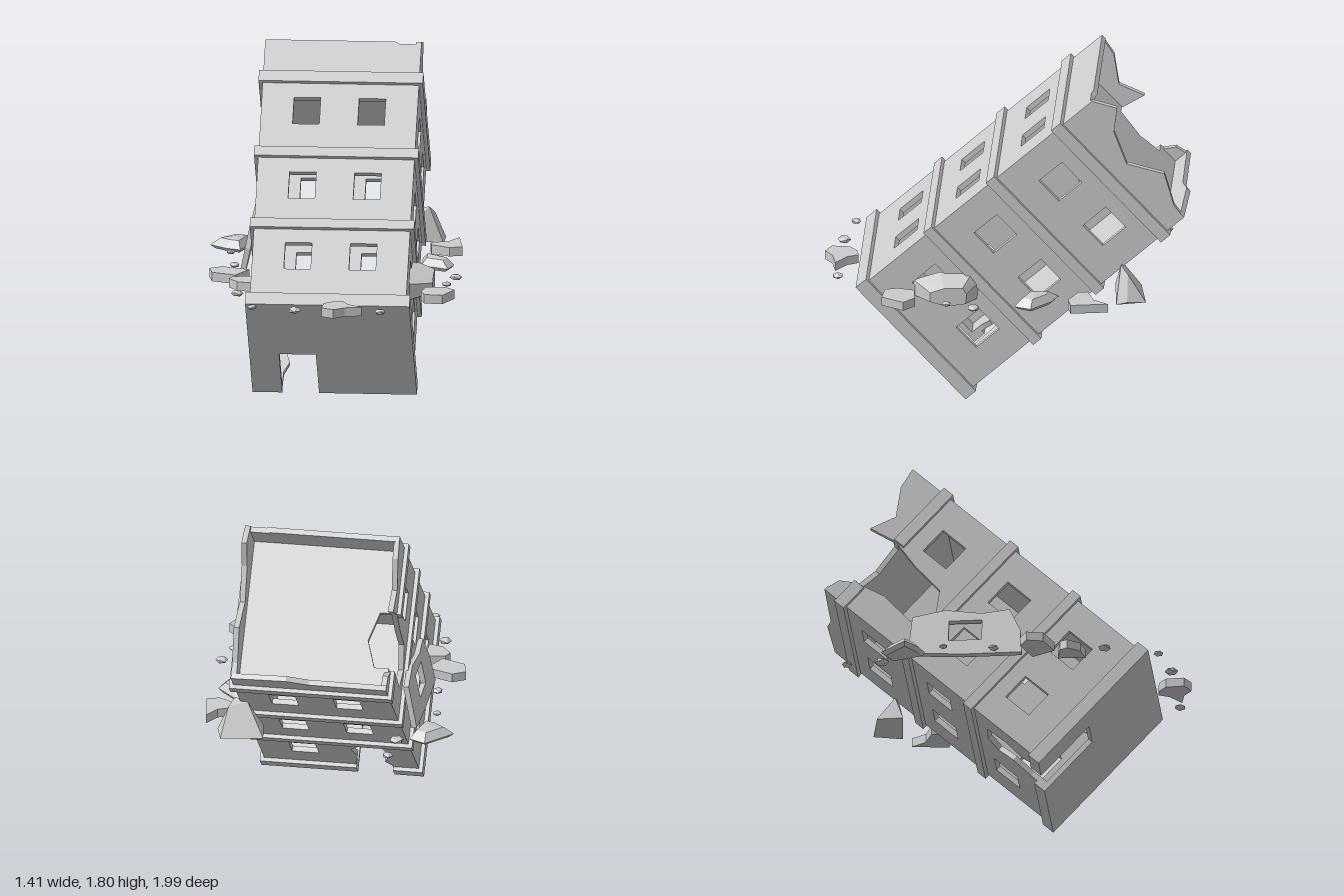
import * as THREE from 'three';
import { ConvexGeometry } from 'three/addons/geometries/ConvexGeometry.js';

const material = new THREE.MeshStandardMaterial({ color: 0xcccccc, flatShading: true, side: THREE.DoubleSide });
const HW = 0.425, HD = 0.42, T = 0.03, LIP = 0.022;
const LEVELS = [0.33, 0.785, 1.265]; // window centre heights
const OFFSET = 0.177;

function add(parent, name, geometry, x = 0, y = 0, z = 0) {
  const mesh = new THREE.Mesh(geometry, material);
  mesh.name = name;
  mesh.position.set(x, y, z);
  parent.add(mesh);
  return mesh;
}

function extrude(points, depth, holes = []) {
  const shape = new THREE.Shape(points.map(p => new THREE.Vector2(...p)));
  for (const hole of holes) shape.holes.push(new THREE.Path(hole.map(p => new THREE.Vector2(...p))));
  return new THREE.ExtrudeGeometry(shape, { depth, bevelEnabled: false });
}

const rect = (cx, cy, w, h) => [
  [cx - w / 2, cy - h / 2], [cx - w / 2, cy + h / 2], [cx + w / 2, cy + h / 2], [cx + w / 2, cy - h / 2]];

// horizontal plate from an outline in x and z
const plate = (points, depth) => extrude(points.map(([x, z]) => [x, -z]), depth).rotateX(-Math.PI / 2);
// upright plate from an outline in z and y, thickness toward -x
const sidePlate = (points, depth, holes) => extrude(points, depth, holes).rotateY(-Math.PI / 2);

function windows(width, skip = () => false) {
  const list = [];
  LEVELS.forEach((y, level) => [-1, 1].forEach(s => {
    if (!skip(level, s)) list.push(rect(s * OFFSET, y, width, 0.17));
  }));
  return list;
}

// band of four bars around the building, with optional gaps in the back or -x bar
function ledge(parent, y0, y1, backGap, sideGap) {
  const group = new THREE.Group();
  group.name = 'ledge';
  parent.add(group);
  const h = y1 - y0, y = (y0 + y1) / 2, t = LIP + 0.01;
  const X = HW + LIP, Z = HD + LIP;
  const spans = (r, gap) => (gap ? [[-r, gap[0]], [gap[1], r]] : [[-r, r]]);
  const alongX = (z, gap) => spans(X, gap).forEach(([a, b]) =>
    add(group, 'ledgeBar', new THREE.BoxGeometry(b - a, h, t), (a + b) / 2, y, z));
  const alongZ = (x, gap) => spans(Z, gap).forEach(([a, b]) =>
    add(group, 'ledgeBar', new THREE.BoxGeometry(t, h, b - a), x, y, (a + b) / 2));
  alongX(Z - t / 2);
  alongX(-Z + t / 2, backGap);
  alongZ(X - t / 2);
  alongZ(-X + t / 2, sideGap);
}

function building() {
  const g = new THREE.Group();
  g.name = 'building';

  add(g, 'frontWall', extrude(
    [[-HW, 0], [HW, 0], [HW, 1.705], [0.31, 1.705], [0.28, 1.72], [-HW, 1.72]], T, windows(0.145)), 0, 0, HD - T);

  // back wall with a ragged doorway
  add(g, 'backWall', extrude(
    [[-HW, 0], [-0.285, 0], [-0.28, 0.1], [-0.25, 0.16], [-0.285, 0.28], [-0.265, 0.42], [-0.135, 0.43],
      [-0.085, 0.36], [-0.11, 0.25], [-0.085, 0.12], [-0.085, 0], [HW, 0], [HW, 1.63], [0.12, 1.65],
      [0, 1.61], [-HW, 1.605]], T,
    windows(0.145, (level, s) => level === 0 && s < 0)), 0, 0, -HD);

  // side walls with broken tops
  add(g, 'leftWall', sidePlate(
    [[-HD, 0], [HD, 0], [HD, 1.72], [0.30, 1.796], [0.205, 1.686], [0.02, 1.61], [-0.157, 1.725],
      [-0.332, 1.637], [-HD, 1.626]], T, windows(0.16)), HW);
  add(g, 'rightWall', sidePlate(
    [[-HD, 0], [HD, 0], [HD, 1.72], [0.3, 1.7], [0.15, 1.6], [0.01, 1.66], [0.04, 1.5], [0, 1.32],
      [-0.02, 1.12], [-0.14, 1.04], [-0.26, 1.12], [-0.24, 1.33], [-0.28, 1.5], [-0.33, 1.58], [-HD, 1.605]], T,
    windows(0.16, (level, s) => level === 2 && s < 0)), -HW + T);

  // ground plate notched by the doorway
  add(g, 'groundPlate', plate(
    [[-HW, -HD], [-0.285, -HD], [-0.285, -0.057], [-0.085, -0.057], [-0.085, -HD], [HW, -HD], [HW, HD], [-HW, HD]], T));

  // roof with a bite on the broken side
  const x = HW - 0.01, z = HD - 0.01;
  add(g, 'roof', plate(
    [[-x, -z], [x, -z], [x, z], [-x, z], [-x, 0.04], [-0.335, 0.04], [-0.285, -0.12], [-0.335, -0.27], [-x, -0.27]], T),
  0, 1.49);

  ledge(g, 0, 0.076, [-0.285, -0.085]);
  ledge(g, 0.5, 0.558);
  ledge(g, 0.96, 1.02);
  ledge(g, 1.441, 1.509, null, [-0.28, 0.04]);

  g.position.set(0.015, 0.332, 0.504);
  g.rotation.x = -0.829;
  return g;
}

// faceted rock: outline tapered upward to a ridge point
function rock(outline, y0, y1, taper) {
  const n = outline.length;
  const cx = outline.reduce((s, p) => s + p[0], 0) / n, cz = outline.reduce((s, p) => s + p[1], 0) / n;
  const pts = [new THREE.Vector3(cx, y1 + 0.01, cz)];
  for (const [x, z] of outline) {
    pts.push(new THREE.Vector3(x, y0 + 0.02, z));
    pts.push(new THREE.Vector3(cx + (x - cx) * taper, y1, cz + (z - cz) * taper));
    pts.push(new THREE.Vector3(cx + (x - cx) * 0.8, y0, cz + (z - cz) * 0.8));
  }
  return new ConvexGeometry(pts);
}

function rubble() {
  const g = new THREE.Group();
  g.name = 'rubble';

  // flat slabs
  const slabs = [
    [[-0.45, 0.175], [-0.6, 0.12], [-0.67, 0.16], [-0.65, 0.25], [-0.52, 0.3]],
    [[-0.42, 0.31], [-0.53, 0.33], [-0.55, 0.37], [-0.5, 0.44], [-0.42, 0.46]],
    [[0.05, 0.82], [0.1, 0.81], [0.13, 0.87], [0.21, 0.93], [0.12, 0.95], [0.06, 0.995], [-0.005, 0.96], [0, 0.86]],
    [[0.53, 0.48], [0.63, 0.47], [0.69, 0.53], [0.63, 0.65], [0.53, 0.64], [0.51, 0.57]],
    [[0.64, -0.58], [0.67, -0.38], [0.6, -0.36], [0.5, -0.41], [0.49, -0.46], [0.59, -0.5]]];
  slabs.forEach(s => add(g, 'slab', plate(s, 0.05), 0, 0.635));

  // faceted rocks
  add(g, 'rock', rock([[-0.71, -0.5], [-0.57, -0.64], [-0.48, -0.6], [-0.5, -0.52], [-0.54, -0.4], [-0.62, -0.43]],
    0.62, 0.68, 0.6));
  add(g, 'rock', rock([[0.46, -0.3], [0.53, -0.27], [0.64, -0.16], [0.61, -0.07], [0.51, -0.12], [0.46, -0.14]],
    0.62, 0.68, 0.6));

  // boulder against the left wall
  const outline = [[0.49, 0.7], [0.35, 0.75], [0.17, 0.755], [0.13, 0.7], [0.14, 0.6], [0.33, 0.57], [0.49, 0.61]];
  add(g, 'boulder', new ConvexGeometry(outline.flatMap(([z, y]) => [
    new THREE.Vector3(0.43, y, z),
    new THREE.Vector3(0.56, 0.66 + (y - 0.66) * 0.6, 0.27 + (z - 0.27) * 0.55)])));

  // chunk leaning under the overhang
  add(g, 'leaningChunk', new ConvexGeometry([
    [0.56, 0.66, -0.68], [0.55, 0.64, -0.62], [0.53, 0.65, -0.78], [0.47, 0.84, -0.64], [0.5, 0.8, -0.68],
    [0.32, 0.66, -0.6], [0.3, 0.65, -0.74], [0.4, 0.82, -0.65]].map(p => new THREE.Vector3(...p))));

  // fallen wall piece with a window, leaning on the right wall
  const panel = add(g, 'fallenWallPiece', sidePlate(
    [[-0.5, 0.02], [-0.2, 0], [0.12, 0], [0.11, 0.15], [0.05, 0.29], [-0.1, 0.27], [-0.3, 0.3], [-0.48, 0.26]], T,
    [rect(-0.19, 0.16, 0.18, 0.13)]), -0.48, 0.635, 0);
  panel.rotation.z = -0.2;

  // pebbles: x, z, radius
  [[-0.585, -0.3, 0.025], [-0.545, -0.03, 0.03], [-0.49, 0.57, 0.035], [-0.39, 0.855, 0.028], [-0.155, 0.905, 0.038],
    [0.31, 0.91, 0.032], [0.63, 0.3, 0.027], [0.67, 0.15, 0.035], [-0.42, -0.65, 0.04], [-0.4, -0.84, 0.03]]
    .forEach(([x, z, r], i) => {
      const pebble = add(g, 'pebble', new THREE.IcosahedronGeometry(r, 0), x, 0.655, z);
      pebble.scale.y = 0.5;
      pebble.rotation.y = i * 1.3;
    });
  return g;
}

export function createModel() {
  const model = new THREE.Group();
  model.name = 'ruinedTower';
  model.add(building(), rubble());
  return model;
}
